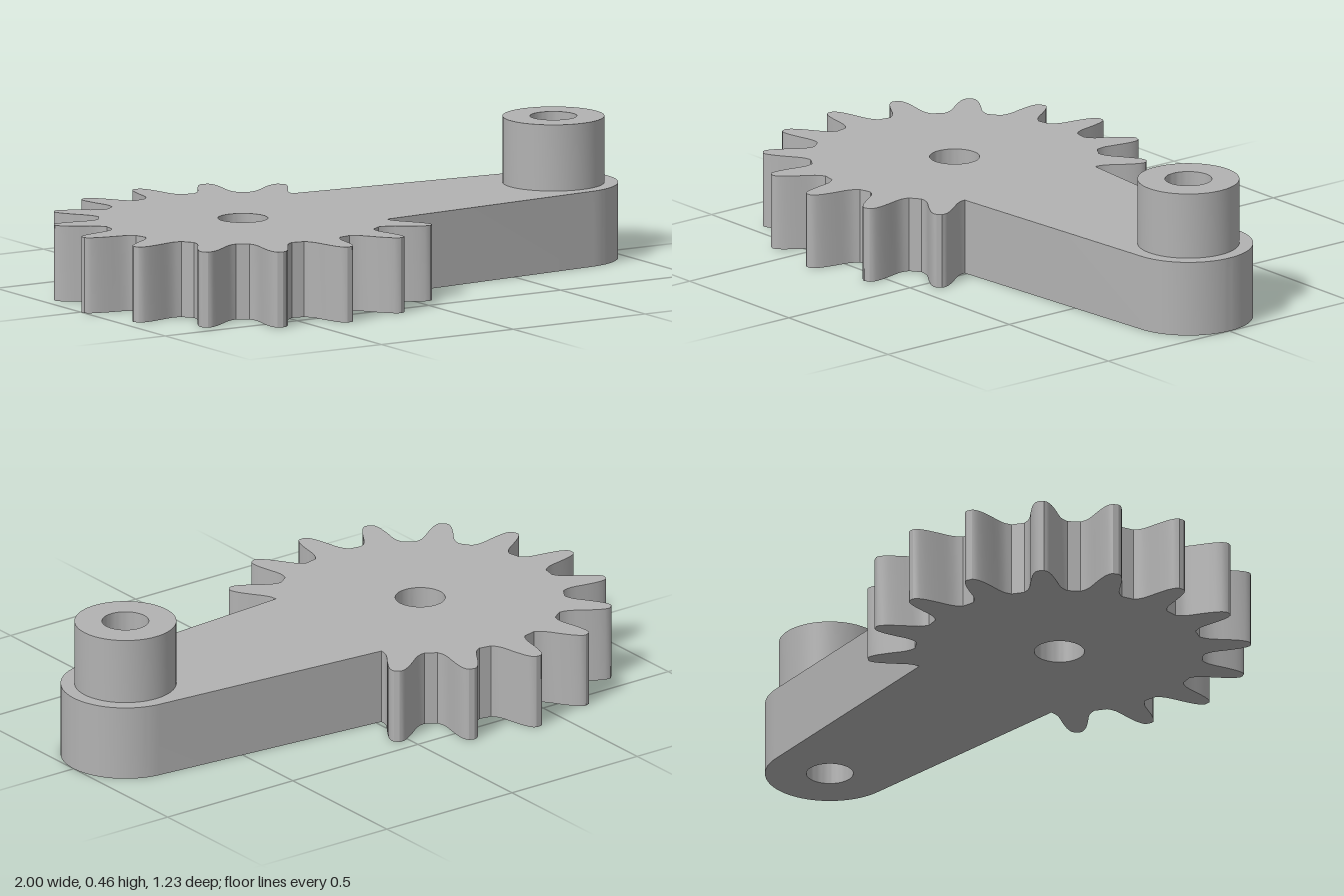
import * as THREE from 'three';
import { toCreasedNormals } from 'three/addons/utils/BufferGeometryUtils.js';

const GEAR_X = -0.385, PIN_X = 0.793, PLATE_H = 0.245, TOP = 0.46;
const TEETH = 16, OFFSET = THREE.MathUtils.degToRad(1.1);

// half profile of a tooth: distance along its axis, half width
const FLANK = [
  [0.456, 0.069], [0.47, 0.058], [0.485, 0.051], [0.505, 0.046], [0.53, 0.042],
  [0.555, 0.037], [0.58, 0.031], [0.598, 0.024], [0.609, 0.017], [0.614, 0.009],
];

function circleHole(x, r) {
  return new THREE.Path().absarc(x, 0, r, 0, Math.PI * 2, true);
}

// extrude a plan outline upwards from height y0 to y1
function slab(shape, y0, y1) {
  const geo = new THREE.ExtrudeGeometry(shape, { depth: y1 - y0, bevelEnabled: false, curveSegments: 32 });
  geo.rotateX(-Math.PI / 2);
  geo.translate(0, y0, 0);
  return toCreasedNormals(geo, 0.5);
}

export function createModel() {
  const group = new THREE.Group();
  const metal = new THREE.MeshStandardMaterial({ color: 0xb2b2b2 });
  metal.name = 'plain grey';

  // gear sector and tapered arm share one outline
  const points = [];
  for (let k = 2; k <= 14; k++) {
    const a = OFFSET + (k * Math.PI * 2) / TEETH;
    const c = Math.cos(a), s = Math.sin(a);
    const add = (r, w) => points.push(new THREE.Vector2(GEAR_X + r * c - w * s, r * s + w * c));
    FLANK.forEach(([r, w]) => add(r, -w));
    [...FLANK].reverse().forEach(([r, w]) => add(r, w));
  }
  const outline = new THREE.Shape(points);
  const tangent = THREE.MathUtils.degToRad(84.5);
  outline.absarc(PIN_X, 0, 0.207, -tangent, tangent, false);
  outline.closePath();
  outline.holes.push(circleHole(GEAR_X, 0.08), circleHole(PIN_X, 0.075));
  const lever = new THREE.Mesh(slab(outline, 0, PLATE_H), metal);
  lever.name = 'gearLever';
  group.add(lever);

  // hollow boss standing on the arm's end
  const ring = new THREE.Shape().absarc(PIN_X, 0, 0.163, 0, Math.PI * 2, false);
  ring.holes.push(circleHole(PIN_X, 0.075));
  const boss = new THREE.Mesh(slab(ring, PLATE_H, TOP), metal);
  boss.name = 'boss';
  group.add(boss);

  return group;
}
